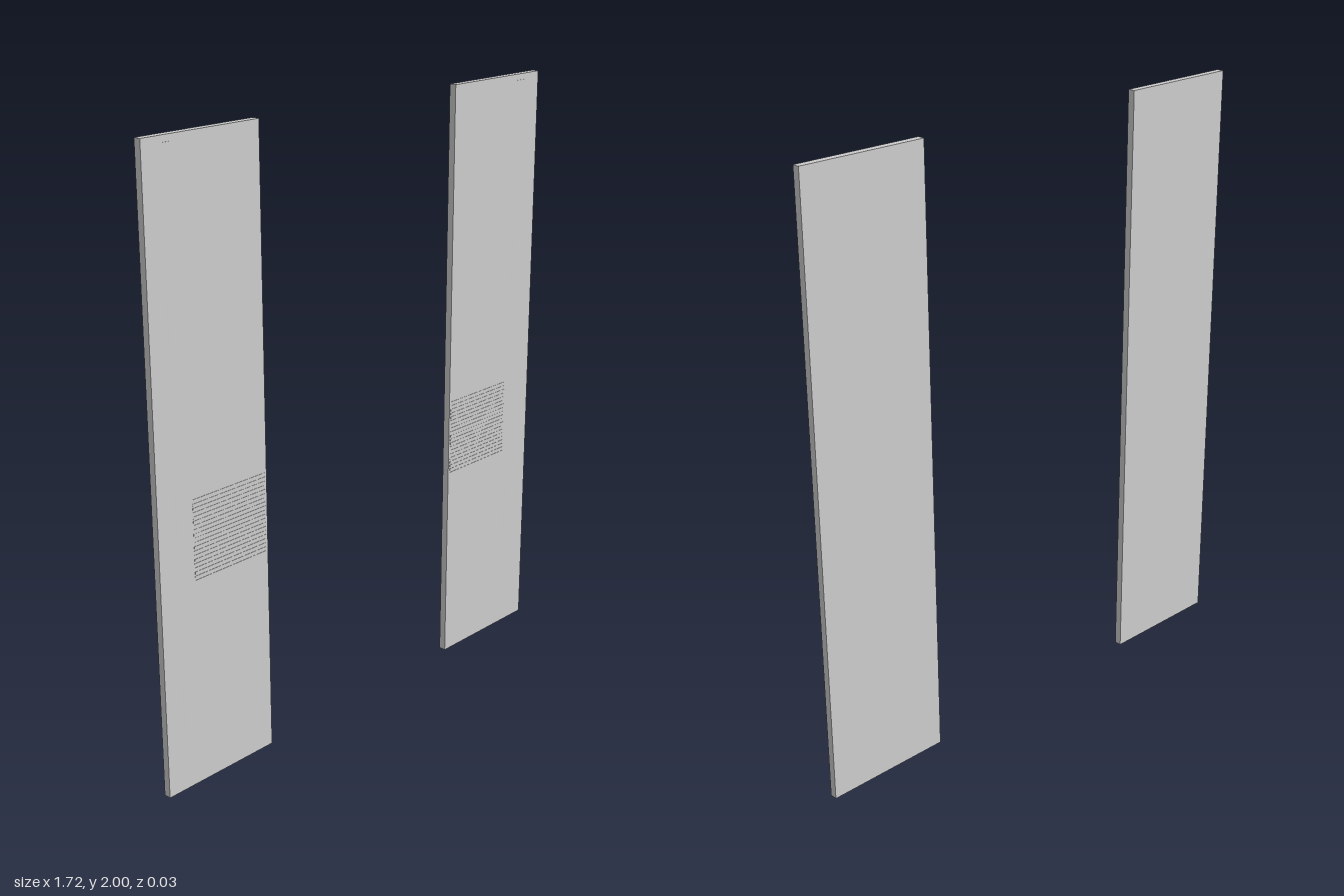
import * as THREE from 'three';

const material = new THREE.MeshStandardMaterial({ color: 0xcccccc });
const BACK = -0.013, FACE = 0.011, FRONT = 0.013; // z of back, main face and raised details
const INNER = 0.43, OUTER = 0.86;

function addMesh(parent, name, geometry, x, y, z) {
  const mesh = new THREE.Mesh(geometry, material);
  mesh.name = name;
  mesh.position.set(x, y, z);
  parent.add(mesh);
}

// Shallow rounded strip standing upright on the panel face
function ridgeGeometry(width, height, rise) {
  const shape = new THREE.Shape();
  shape.moveTo(-width / 2, 0.001);
  shape.quadraticCurveTo(0, -2 * rise, width / 2, 0.001);
  shape.closePath();
  const geometry = new THREE.ExtrudeGeometry(shape, { depth: height, bevelEnabled: false, curveSegments: 12 });
  return geometry.rotateX(-Math.PI / 2);
}

function createPanel(side) {
  const panel = new THREE.Group();
  panel.name = side > 0 ? 'leftPanel' : 'rightPanel';

  // Flat slab
  addMesh(panel, 'slab', new THREE.BoxGeometry(OUTER - INNER, 2, FACE - BACK),
    side * (INNER + OUTER) / 2, 1, (FACE + BACK) / 2);

  // Vertical ridge near the outer edge
  addMesh(panel, 'verticalRidge', ridgeGeometry(0.06, 1.96, FRONT - FACE), side * 0.77, 0.02, FACE);

  // Patch of fine horizontal ribs reaching the inner edge
  const ribs = new THREE.Group();
  ribs.name = 'ribPatch';
  const count = 20, bottom = 0.67, top = 0.94, pitch = (top - bottom) / count;
  const rib = new THREE.BoxGeometry(0.29, pitch * 0.5, 0.002);
  for (let i = 0; i < count; i++) {
    addMesh(ribs, 'rib', rib, side * 0.582, bottom + (i + 0.5) * pitch, FACE);
  }
  panel.add(ribs);
  return panel;
}

export function createModel() {
  const model = new THREE.Group();
  model.name = 'panelPair';
  for (const side of [-1, 1]) model.add(createPanel(side));
  return model;
}
